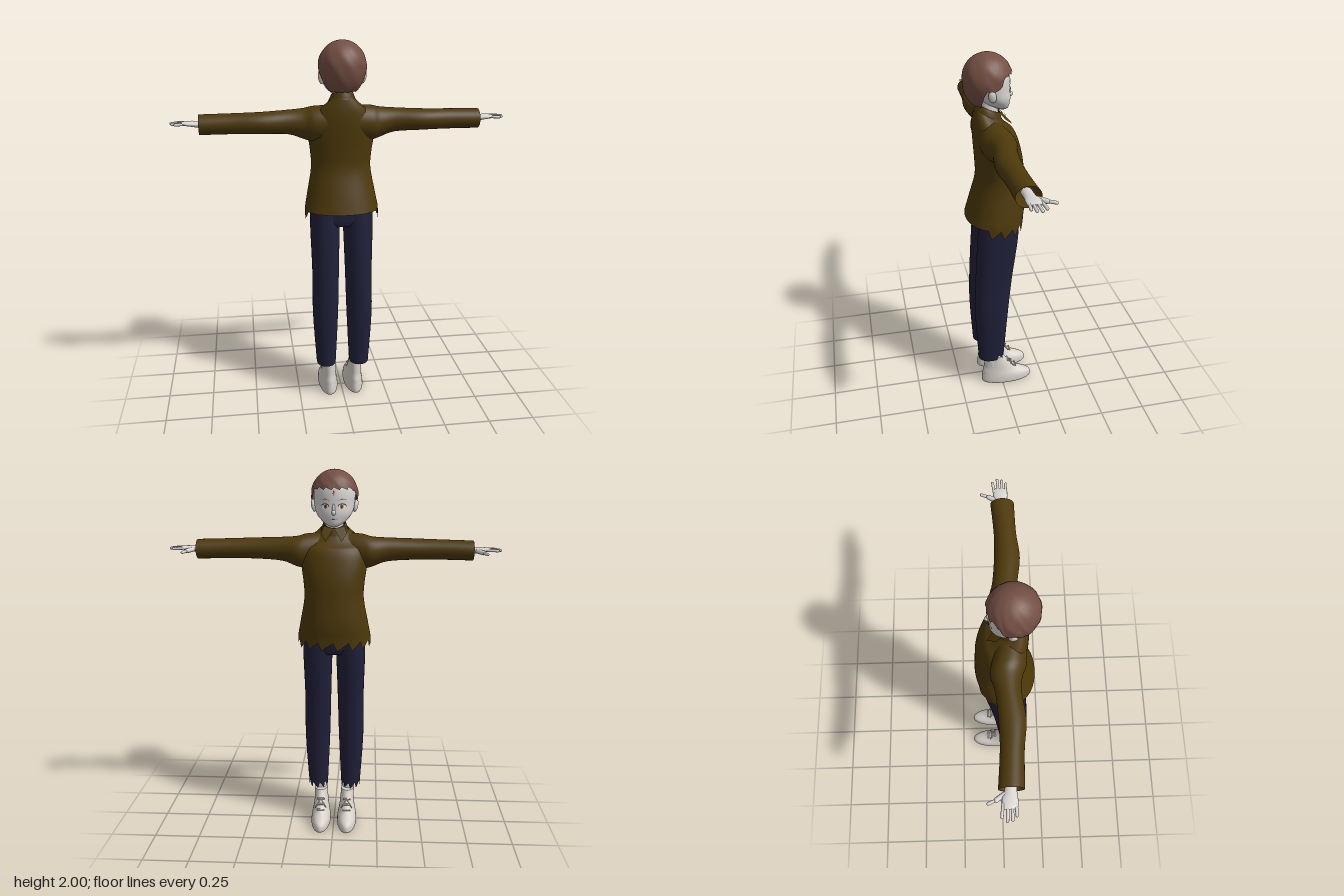
import * as THREE from 'three';

const paint = (name, color, side = THREE.FrontSide) => {
  const m = new THREE.MeshStandardMaterial({ color, side });
  m.name = name;
  return m;
};
const V = (x, y, z) => new THREE.Vector3(x, y, z);

// Catmull-Rom resampling of cross-section rows
function smooth(rows, k = 4) {
  const out = [];
  for (let i = 0; i < rows.length - 1; i++) {
    const q = [rows[Math.max(0, i - 1)], rows[i], rows[i + 1], rows[Math.min(rows.length - 1, i + 2)]];
    for (let s = 0; s < k; s++) {
      const t = s / k;
      out.push(q[1].map((b, c) => {
        const a = q[0][c], d = q[2][c], e = q[3][c];
        return b + 0.5 * t * (d - a + t * (2 * a - 5 * b + 4 * d - e + t * (3 * (b - d) + e - a)));
      }));
    }
  }
  out.push(rows[rows.length - 1]);
  return out;
}

// Skin of rounded rings; row = [t, centreU, radiusU, centreV, radiusV]; t runs along y or x
function loft(rows, { n = 40, axis = 'y', p = 1, caps = false, warp } = {}) {
  const pos = [], idx = [];
  const pow = (s) => Math.sign(s) * Math.abs(s) ** p;
  const put = (t, u, v) => (axis === 'y' ? V(u, t, v) : V(t, v, u));
  rows.forEach(([t, cu, ru, cv, rv], i) => {
    for (let j = 0; j < n; j++) {
      const a = (j / n) * Math.PI * 2;
      const pt = put(t, cu + ru * pow(Math.sin(a)), cv + rv * pow(Math.cos(a)));
      if (warp) warp(pt, i, j, a);
      pos.push(pt.x, pt.y, pt.z);
      if (i < rows.length - 1) {
        const k = (j + 1) % n, A = i * n + j, B = i * n + k;
        idx.push(A, B, A + n, B, B + n, A + n);
      }
    }
  });
  if (caps) for (const i of [0, rows.length - 1]) {
    const base = pos.length / 3, r = rows[i], c = put(r[0], r[1], r[3]);
    pos.push(...pos.slice(i * n * 3, (i + 1) * n * 3), c.x, c.y, c.z);
    for (let j = 0; j < n; j++) {
      const A = base + j, B = base + (j + 1) % n;
      idx.push(...(i ? [A, B, base + n] : [B, A, base + n]));
    }
  }
  const g = new THREE.BufferGeometry();
  g.setAttribute('position', new THREE.Float32BufferAttribute(pos, 3));
  g.setIndex(idx);
  g.computeVertexNormals();
  return g;
}

// Head outline: [y, centre x, half width, centre z, half depth]
const headRows = smooth([
  [1.708, 0, 0.012, -0.02, 0.014], [1.722, 0, 0.042, -0.012, 0.037], [1.75, 0, 0.075, 0.01, 0.065],
  [1.78, 0, 0.095, 0.023, 0.081], [1.82, 0, 0.105, 0.038, 0.093], [1.88, 0, 0.109, 0.048, 0.103],
  [1.93, 0, 0.095, 0.052, 0.094], [1.97, 0, 0.06, 0.06, 0.06], [1.985, 0, 0.01, 0.06, 0.01],
]);
function faceZ(x, y) {
  const i = Math.max(1, headRows.findIndex((r) => r[0] >= y));
  const a = headRows[i - 1], b = headRows[i], t = (y - a[0]) / (b[0] - a[0]);
  const [, , rx, cz, rz] = a.map((v, c) => v + (b[c] - v) * t);
  return cz - rz * Math.sqrt(Math.max(0, 1 - (x / rx) ** 2));
}

export function createModel() {
  const D = THREE.DoubleSide;
  const skin = paint('skin', 0xd8d5d2), hairMat = paint('hair brown', 0x744f43, D);
  const shirt = paint('shirt olive', 0x4d390a, D), navy = paint('trouser navy', 0x20203a, D);
  const boot = paint('boot off-white', 0xd6d0c8), white = paint('eye white', 0xf4f4f4, D);
  const amber = paint('iris amber', 0xa0602c, D), dark = paint('dark line', 0x2a211f, D);
  const red = paint('forehead red', 0xa5392c, D), lip = paint('lip', 0xb08f88, D);

  const model = new THREE.Group();
  const add = (parent, name, geo, mat) => {
    const m = new THREE.Mesh(geo, mat);
    m.name = name;
    parent.add(m);
    return m;
  };
  const group = (name, parent = model) => {
    const g = new THREE.Group();
    g.name = name;
    parent.add(g);
    return g;
  };
  const ball = (parent, name, mat, c, s) => {
    const m = add(parent, name, new THREE.SphereGeometry(1, 20, 14), mat);
    m.position.set(...c);
    m.scale.set(...s);
    return m;
  };
  const rod = (parent, name, mat, a, b, r) => {
    const d = b.clone().sub(a);
    const m = add(parent, name, new THREE.CapsuleGeometry(r, d.length(), 4, 10), mat);
    m.position.copy(a).addScaledVector(d, 0.5);
    m.quaternion.setFromUnitVectors(V(0, 1, 0), d.normalize());
  };

  // Shirt body: ragged hem on the face side, neckline sloping down towards the face
  add(model, 'shirtBody', loft(smooth([
    [1.112, 0, 0.2, 0.03, 0.155], [1.2, 0, 0.183, 0.013, 0.148], [1.33, 0, 0.16, -0.002, 0.128],
    [1.42, 0, 0.164, 0, 0.125], [1.5, 0, 0.174, 0.01, 0.12], [1.58, 0, 0.17, 0.025, 0.11],
    [1.64, 0, 0.135, 0.045, 0.09], [1.69, 0, 0.073, 0.055, 0.07],
  ]), {
    n: 64, p: 0.92,
    warp: (v, i, j) => {
      if (i === 0 && v.z < 0.09) v.y -= 0.008 + 0.045 * ((j * 7) % 4) / 3;
      v.y += Math.max(0, v.y - 1.6) / 0.09 * 0.45 * (v.z - 0.055);
    },
  }), shirt);
  // Collar band and its two pointed flaps
  add(model, 'collarBand', loft([
    [1.675, 0, 0.076, 0.055, 0.075], [1.70, 0, 0.068, 0.055, 0.066], [1.725, 0, 0.059, 0.055, 0.06],
    [1.725, 0, 0.054, 0.055, 0.055], [1.69, 0, 0.054, 0.055, 0.055],
  ], { warp: (v) => { v.y += 0.45 * (v.z - 0.055); } }), shirt);
  for (const s of [-1, 1]) {
    const flap = new THREE.BufferGeometry().setFromPoints([
      V(s * 0.004, 1.694, -0.012), V(s * 0.055, 1.712, 0.012), V(s * 0.068, 1.675, -0.02), V(s * 0.042, 1.636, -0.066),
    ]);
    flap.setIndex(s > 0 ? [0, 1, 3, 1, 2, 3] : [1, 0, 3, 2, 1, 3]);
    flap.computeVertexNormals();
    add(model, 'collarFlap', flap, shirt);
  }

  // Hips joining the trouser legs
  add(model, 'trouserHips', loft([
    [1.025, 0, 0.13, 0.022, 0.09], [1.06, 0, 0.168, 0.02, 0.108], [1.2, 0, 0.16, 0.015, 0.11],
  ], { p: 0.85, caps: true }), navy);

  // Arms, hands, legs and boots, mirrored
  for (const s of [1, -1]) {
    const side = group(s > 0 ? 'plusXLimbs' : 'minusXLimbs');
    side.scale.x = s;
    add(side, 'sleeve', loft(smooth([
      [0.06, 0.05, 0.075, 1.585, 0.088], [0.15, 0.036, 0.084, 1.576, 0.091], [0.2, 0.024, 0.077, 1.575, 0.08],
      [0.28, 0.03, 0.062, 1.586, 0.063], [0.42, 0.045, 0.064, 1.587, 0.056], [0.56, 0.039, 0.056, 1.586, 0.053],
      [0.735, 0.03, 0.06, 1.583, 0.052],
    ]), { axis: 'x' }), shirt);
    const hand = group('hand', side);
    add(hand, 'palm', loft(smooth([
      [0.68, 0.028, 0.026, 1.582, 0.022], [0.74, 0.026, 0.028, 1.585, 0.017], [0.775, 0.022, 0.036, 1.588, 0.014],
      [0.81, 0.022, 0.036, 1.59, 0.01], [0.825, 0.022, 0.028, 1.59, 0.005],
    ]), { axis: 'x', n: 20, caps: true }), skin);
    [[-0.009, -0.016, 0.858], [0.012, 0.008, 0.876], [0.031, 0.031, 0.87], [0.048, 0.051, 0.852]].forEach(([z0, z1, x]) =>
      rod(hand, 'finger', skin, V(0.8, 1.59, z0), V(x, 1.588, z1), 0.0075));
    rod(hand, 'thumbBase', skin, V(0.755, 1.584, 0.0), V(0.78, 1.58, -0.038), 0.012);
    rod(hand, 'thumbTip', skin, V(0.78, 1.58, -0.038), V(0.796, 1.577, -0.074), 0.008);

    // Trouser leg with a torn hem
    add(side, 'trouserLeg', loft(smooth([
      [0.2, 0.094, 0.054, 0.066, 0.074], [0.5, 0.096, 0.07, 0.063, 0.093], [0.75, 0.092, 0.073, 0.048, 0.102],
      [1.0, 0.091, 0.08, 0.025, 0.11], [1.13, 0.086, 0.084, 0.018, 0.108],
    ]), {
      p: 0.9,
      warp: (v, i, j) => { if (i === 0 && v.z < 0.03) v.y += 0.035 * ((j * 3) % 4) / 3 - 0.005; },
    }), navy);

    add(side, 'ankle', new THREE.CylinderGeometry(0.033, 0.033, 0.16, 20), skin).position.set(0.08, 0.2, 0.055);
    add(side, 'boot', loft(smooth([
      [0, 0.075, 0.053, -0.03, 0.146], [0.012, 0.075, 0.056, -0.03, 0.151], [0.04, 0.075, 0.054, -0.028, 0.147],
      [0.06, 0.075, 0.05, -0.014, 0.13], [0.08, 0.075, 0.045, 0.006, 0.108], [0.11, 0.075, 0.041, 0.02, 0.086],
      [0.15, 0.076, 0.038, 0.036, 0.068], [0.185, 0.077, 0.038, 0.046, 0.056],
    ], 3), { caps: true }), boot);
    // Laces and bow
    [[0.095, -0.083], [0.118, -0.058], [0.142, -0.037]].forEach(([y, z]) =>
      rod(side, 'lace', boot, V(0.057, y, z), V(0.093, y, z), 0.005));
    for (const d of [-1, 1]) {
      rod(side, 'laceEnd', boot, V(0.075, 0.145, -0.038), V(0.075 + d * 0.03, 0.105, -0.07), 0.003);
    }
  }

  // Head, neck, ears and nose
  const head = group('head');
  add(head, 'skull', loft(headRows, { n: 48, caps: true }), skin);
  add(head, 'neck', new THREE.CylinderGeometry(0.046, 0.05, 0.16, 24), skin).position.set(0, 1.7, 0.052);
  ball(head, 'nose', skin, [0, 1.784, -0.057], [0.011, 0.014, 0.016]);
  ball(head, 'noseBridge', skin, [0, 1.802, -0.054], [0.008, 0.026, 0.009]);

  // Thin face details laid onto the curve of the face
  const decal = (name, shape, mat, off) => {
    const g = new THREE.ShapeGeometry(shape, 16), p = g.attributes.position;
    for (let i = 0; i < p.count; i++) p.setZ(i, faceZ(p.getX(i), p.getY(i)) - off);
    g.computeVertexNormals();
    add(head, name, g, mat);
  };
  const oval = (x, y, rx, ry) => new THREE.Shape().absellipse(x, y, rx, ry, 0, Math.PI * 2);
  const poly = (pts) => new THREE.Shape(pts.map(([x, y]) => new THREE.Vector2(x, y)));
  for (const s of [-1, 1]) {
    ball(head, 'ear', skin, [s * 0.111, 1.812, 0.055], [0.013, 0.034, 0.02]).rotation.set(0.2, 0, -s * 0.2);
    decal('eyelash', oval(s * 0.044, 1.818, 0.021, 0.013), dark, 0.002);
    decal('eyeWhite', oval(s * 0.044, 1.815, 0.019, 0.012), white, 0.003);
    decal('iris', oval(s * 0.042, 1.815, 0.009, 0.0115), amber, 0.004);
    decal('pupil', oval(s * 0.042, 1.815, 0.004, 0.006), dark, 0.005);
    decal('eyebrow', poly([[s * 0.022, 1.846], [s * 0.045, 1.855], [s * 0.068, 1.848], [s * 0.045, 1.850]]), hairMat, 0.002);
  }
  decal('mouth', oval(0, 1.749, 0.02, 0.0025), lip, 0.002);
  decal('foreheadMark', poly([[-0.003, 1.895], [0.004, 1.895], [0.003, 1.884], [0.008, 1.884], [-0.002, 1.868], [0.001, 1.88], [-0.006, 1.88]]), red, 0.002);

  // Hair cap: high jagged fringe, clear of the ears, low at the nape
  const step = THREE.MathUtils.smoothstep, rise = 16;
  add(head, 'hair', loft(Array.from({ length: rise + 1 }, () => [0, 0, 0, 0, 0]), {
    n: 72,
    warp: (v, i, j, a) => {
      const d = Math.abs(Math.PI - a);
      const jag = 0.014 * ((j * 5) % 4) / 3;
      const edge = 1.912 - 0.072 * step(d, 0.85, 1.4) - 0.09 * step(d, 1.75, 2.15) - jag * (d < 1.3 ? 1 : 0.4);
      const h = edge - 1.87, low = Math.asin(h / (h > 0 ? 0.13 : 0.16));
      const phi = low + (Math.PI / 2 - low) * (i / rise);
      const lump = 1 + 0.012 * Math.sin(9 * a + i) * Math.cos(phi);
      v.set(0.124 * Math.cos(phi) * Math.sin(a) * lump,
        1.87 + Math.sin(phi) * (phi > 0 ? 0.13 : 0.16),
        0.058 + 0.127 * Math.cos(phi) * Math.cos(a) * lump);
    },
  }), hairMat);

  return model;
}
